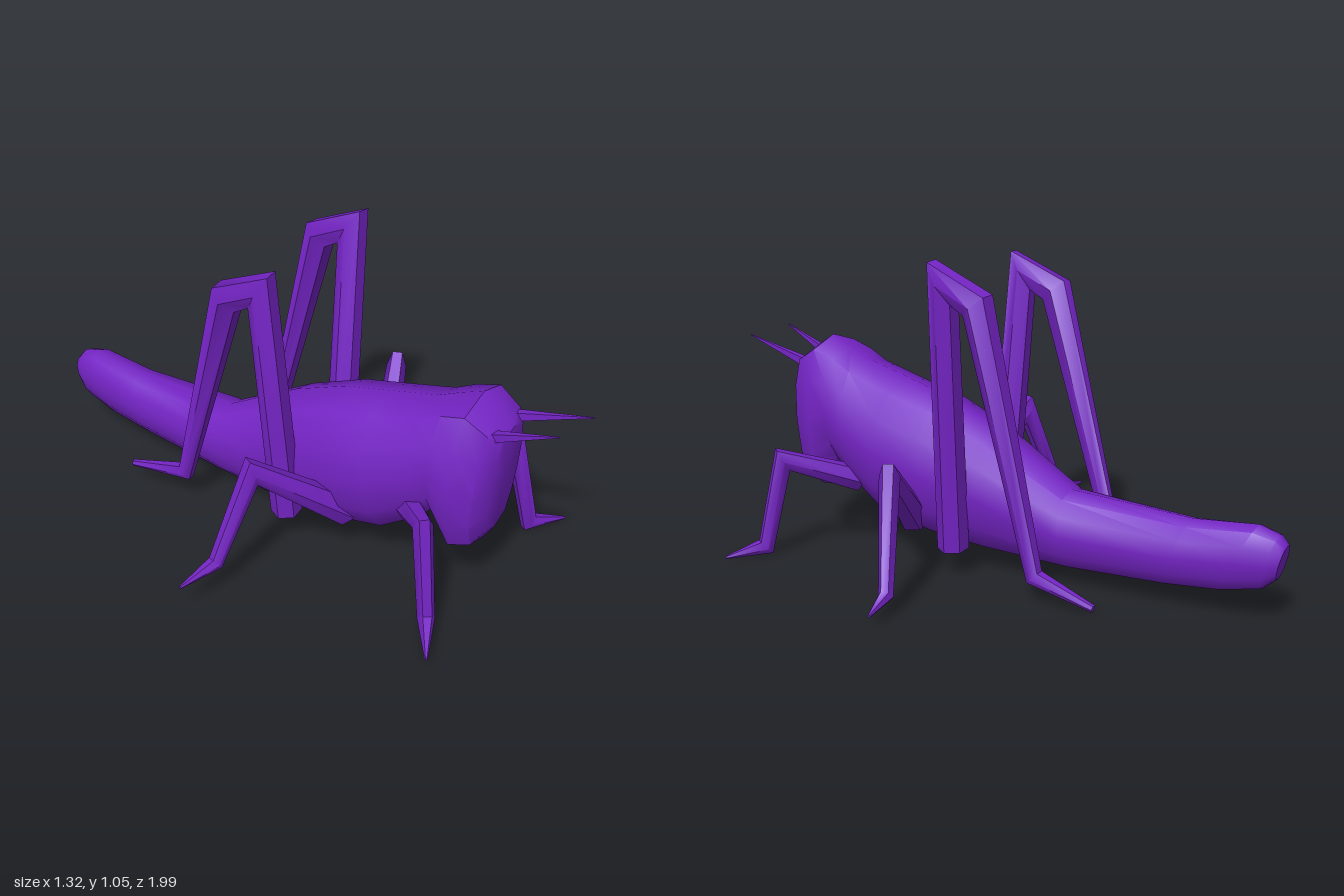
import * as THREE from 'three';
import { toCreasedNormals } from 'three/addons/utils/BufferGeometryUtils.js';

const purple = new THREE.MeshStandardMaterial({ color: 0x7424c4 });
purple.name = 'purple';
const V = (x, y, z) => new THREE.Vector3(x, y, z);

// Skin a list of rings (counter-clockwise around the direction of travel) and cap both ends
function loft(name, rings, crease) {
  const out = [];
  const tri = (...p) => p.forEach((v) => out.push(v.x, v.y, v.z));
  const n = rings[0].length;
  const middle = (ring) => ring.reduce((s, p) => s.add(p), V(0, 0, 0)).divideScalar(n);
  const last = rings.length - 1;
  const start = middle(rings[0]), end = middle(rings[last]);
  for (let k = 0; k < n; k++) {
    const j = (k + 1) % n;
    for (let i = 0; i < last; i++) {
      const a = rings[i], b = rings[i + 1];
      tri(a[k], a[j], b[j]);
      tri(a[k], b[j], b[k]);
    }
    tri(start, rings[0][j], rings[0][k]);
    tri(end, rings[last][k], rings[last][j]);
  }
  const g = new THREE.BufferGeometry();
  g.setAttribute('position', new THREE.Float32BufferAttribute(out, 3));
  const mesh = new THREE.Mesh(toCreasedNormals(g, crease), purple);
  mesh.name = name;
  return mesh;
}

// Body ring, leaning between a top and a bottom point on the centre line; a lower power is squarer
function bodyRing([zTop, yTop, zBottom, yBottom, halfWidth, power]) {
  return Array.from({ length: 12 }, (_, k) => {
    const a = Math.PI / 2 + (k * Math.PI * 2) / 12;
    const c = Math.cos(a), t = (Math.sin(a) + 1) / 2;
    const x = Math.sign(c) * Math.pow(Math.abs(c), power) * halfWidth;
    return V(x, yBottom + (yTop - yBottom) * t, zBottom + (zTop - zBottom) * t);
  });
}

// Jointed limb with mitred bends
function limb(name, coords, radii, sides = 6) {
  const pts = coords.map((c) => V(...c));
  const dirs = pts.slice(1).map((p, i) => p.clone().sub(pts[i]).normalize());
  const plane = dirs.length > 1 ? dirs[0].clone().cross(dirs[1]) : V(1, 0, 0);
  const rings = pts.map((p, i) => {
    const before = dirs[Math.max(i - 1, 0)], after = dirs[Math.min(i, dirs.length - 1)];
    const t = before.clone().add(after).normalize();
    const stretch = Math.min(1 / t.dot(before), 1.9);
    const b = plane.clone().addScaledVector(t, -plane.dot(t)).normalize();
    const n = b.clone().cross(t);
    return Array.from({ length: sides }, (_, k) => {
      const a = ((k + 0.5) * Math.PI * 2) / sides;
      return p.clone()
        .addScaledVector(n, Math.cos(a) * radii[i] * stretch)
        .addScaledVector(b, Math.sin(a) * radii[i]);
    });
  });
  return loft(name, rings, 0.9);
}

export function createModel() {
  const group = new THREE.Group();
  group.name = 'grasshopper';

  // Body from tail to face: zTop, yTop, zBottom, yBottom, halfWidth, power
  group.add(loft('body', [
    [-1, 0.265, -0.975, 0.155, 0.042, 0.8],
    [-0.975, 0.295, -0.93, 0.115, 0.06, 0.8],
    [-0.91, 0.315, -0.8, 0.085, 0.074, 0.8],
    [-0.7, 0.295, -0.62, 0.07, 0.088, 0.8],
    [-0.28, 0.315, -0.3, 0.06, 0.118, 0.8],
    [0, 0.48, 0, 0.07, 0.16, 0.7],
    [0.2, 0.565, 0.2, 0.09, 0.187, 0.7],
    [0.35, 0.605, 0.42, 0.145, 0.195, 0.75],
    [0.53, 0.655, 0.52, 0.22, 0.178, 0.7],
    [0.6, 0.69, 0.59, 0.29, 0.172, 0.65],
    [0.68, 0.725, 0.655, 0.175, 0.165, 0.55],
    [0.755, 0.675, 0.725, 0.205, 0.143, 0.5],
    [0.787, 0.645, 0.755, 0.255, 0.088, 0.5],
  ].map(bodyRing), 0.8));

  // Hind legs: hip, two knee corners, ankle, toe
  const hind = [0.052, 0.047, 0.052, 0.028, 0.012];
  group.add(limb('leftHindLeg', [[0.165, 0.1, 0.07], [0.245, 0.99, 0.046],
    [0.245, 0.93, -0.08], [0.225, 0.09, -0.272], [0.235, 0.035, -0.485]], hind));
  group.add(limb('rightHindLeg', [[-0.165, 0.12, 0.08], [-0.245, 0.968, 0.05],
    [-0.25, 0.91, -0.076], [-0.205, 0.13, -0.32], [-0.238, 0.095, -0.535]], hind));

  // Middle legs: root, knee, ankle, toe
  const middle = [0.055, 0.034, 0.024, 0.005];
  group.add(limb('leftMiddleLeg', [[0.1, 0.15, 0.275], [0.43, 0.405, 0.125],
    [0.55, 0.07, 0.06], [0.66, 0.05, 0.04]], middle));
  group.add(limb('rightMiddleLeg', [[-0.1, 0.17, 0.275], [-0.405, 0.437, 0.125],
    [-0.515, 0.12, 0.06], [-0.66, 0.107, 0.035]], middle));

  // Front legs
  const front = [0.045, 0.032, 0.028, 0.005];
  group.add(limb('leftFrontLeg', [[0.1, 0.25, 0.5], [0.32, 0.35, 0.655],
    [0.35, 0.035, 0.72], [0.465, 0.015, 0.8]], front));
  group.add(limb('rightFrontLeg', [[-0.1, 0.29, 0.5], [-0.265, 0.38, 0.65],
    [-0.29, 0.065, 0.695], [-0.42, 0.042, 0.775]], front));

  // Antennae
  group.add(limb('leftAntenna', [[0.07, 0.63, 0.75], [0.085, 0.705, 0.99]], [0.02, 0.002], 4));
  group.add(limb('rightAntenna', [[-0.07, 0.63, 0.75], [-0.085, 0.72, 0.96]], [0.02, 0.002], 4));
  return group;
}
